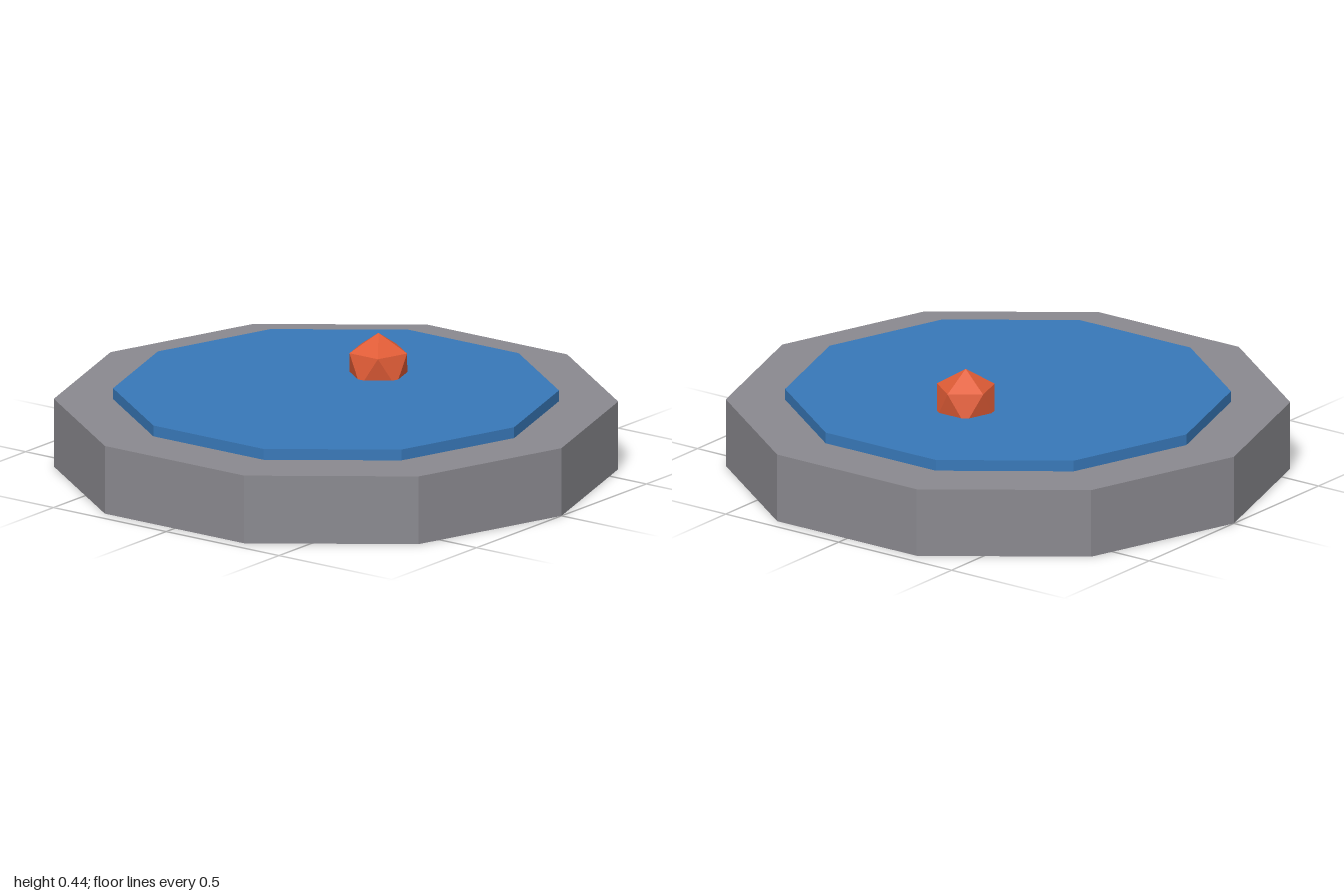
import * as THREE from 'three';

const flat = (name, color) => {
  const m = new THREE.MeshStandardMaterial({ color, flatShading: true });
  m.name = name;
  return m;
};

export function createModel() {
  const group = new THREE.Group();
  group.name = 'pool';
  const stone = flat('stone grey', 0x8a898f);
  const blue = flat('water blue', 0x3878b8);
  const orange = flat('ball orange', 0xe05c36);

  // Ten-sided slab spanning bottom to top, with a corner facing the front
  const slab = (name, radius, bottom, top, material) => {
    const mesh = new THREE.Mesh(new THREE.CylinderGeometry(radius, radius, top - bottom, 10), material);
    mesh.name = name;
    mesh.position.y = (bottom + top) / 2;
    group.add(mesh);
  };
  slab('stoneBase', 1, 0, 0.25, stone);
  slab('water', 0.79, 0.21, 0.29, blue);

  // Floating ball, turned so one corner points straight up
  const ball = new THREE.Mesh(new THREE.IcosahedronGeometry(0.12, 0), orange);
  ball.name = 'floatingBall';
  ball.rotation.z = -Math.atan(2 / (1 + Math.sqrt(5)));
  ball.position.set(0.25, 0.32, 0);
  group.add(ball);

  return group;
}
